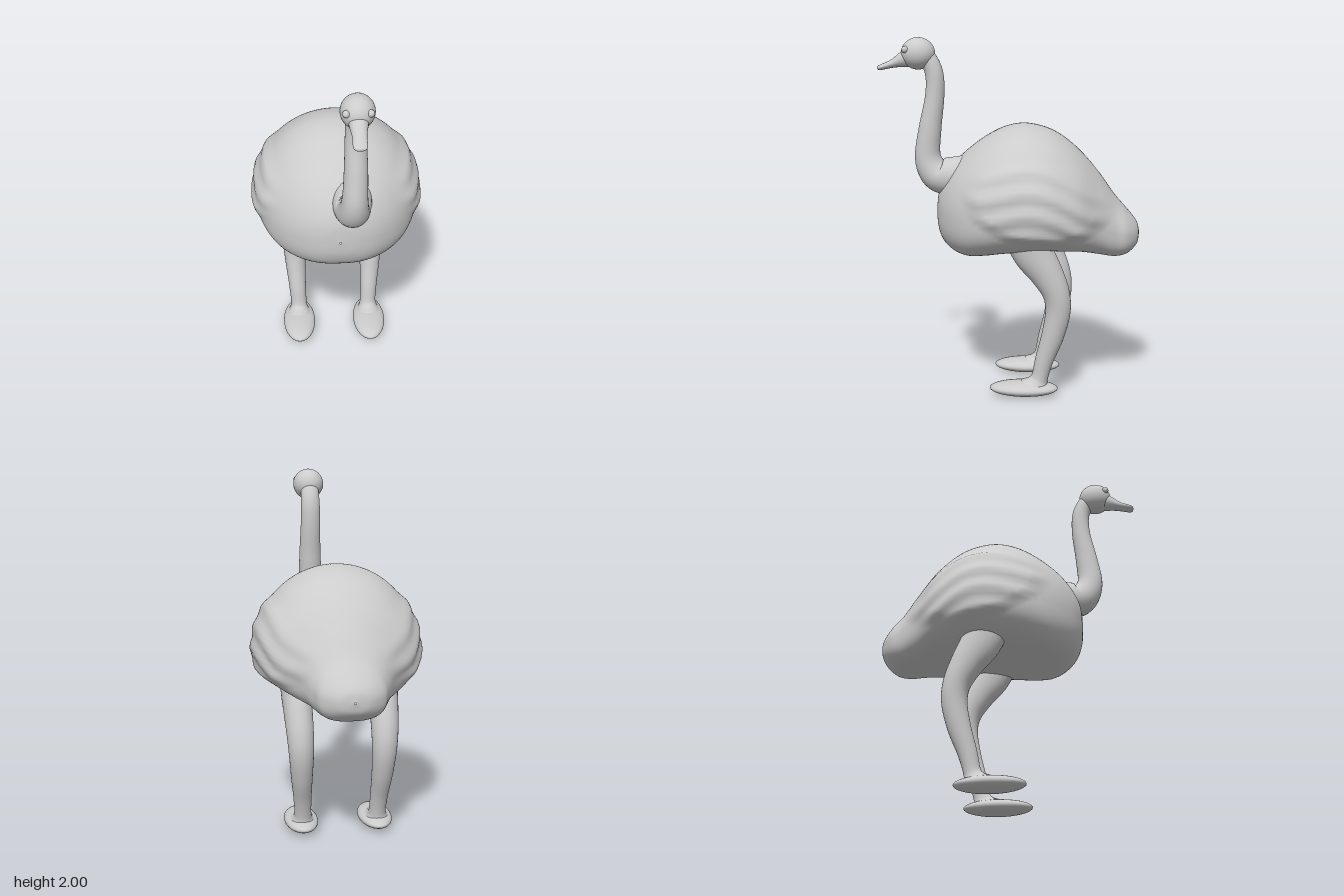
import * as THREE from 'three';
import { ParametricGeometry } from 'three/addons/geometries/ParametricGeometry.js';

const material = new THREE.MeshStandardMaterial({ color: 0xcccccc, side: THREE.DoubleSide });

function mesh(name, geometry, parent) {
  const m = new THREE.Mesh(geometry, material);
  m.name = name;
  parent.add(m);
  return m;
}

function ellipsoid(name, parent, center, radii) {
  const m = mesh(name, new THREE.SphereGeometry(1, 40, 28), parent);
  m.position.set(...center);
  m.scale.set(...radii);
  return m;
}

// smooth curve through three columns of a table
function columns(rows, a, b, c) {
  const points = rows.map(r => new THREE.Vector3(r[a], r[b], r[c] ?? 0));
  return new THREE.CatmullRomCurve3(points, false, 'catmullrom');
}

// tube with varying elliptical section; rows are [x, y, z, half width, half depth]
function taperedTube(rows, around = 28, along = 48) {
  const path = columns(rows, 0, 1, 2);
  const size = columns(rows, 3, 4);
  const side = new THREE.Vector3(1, 0, 0);
  return new ParametricGeometry((u, v, target) => {
    const a = u * Math.PI * 2;
    const s = size.getPoint(v);
    const n = path.getTangent(v).cross(side).normalize();
    target.copy(path.getPoint(v)).addScaledVector(side, s.x * Math.cos(a)).addScaledVector(n, s.y * Math.sin(a));
  }, around, along);
}

// body sections from tail to breast: [z, top, bottom, half width, height of widest point]
const BODY = [
  [-0.73, 0.918, 0.908, 0.005, 0.913],
  [-0.715, 0.975, 0.85, 0.09, 0.913],
  [-0.66, 1.045, 0.8, 0.17, 0.92],
  [-0.59, 1.125, 0.785, 0.205, 0.94],
  [-0.5, 1.25, 0.80, 0.26, 0.99],
  [-0.4, 1.365, 0.82, 0.355, 1.03],
  [-0.3, 1.45, 0.825, 0.41, 1.05],
  [-0.2, 1.502, 0.83, 0.443, 1.06],
  [-0.08, 1.525, 0.82, 0.455, 1.06],
  [0.03, 1.505, 0.81, 0.448, 1.05],
  [0.13, 1.455, 0.795, 0.42, 1.04],
  [0.22, 1.39, 0.788, 0.37, 1.03],
  [0.3, 1.315, 0.81, 0.295, 1.03],
  [0.365, 1.225, 0.86, 0.2, 1.03],
  [0.4, 1.14, 0.935, 0.1, 1.03],
  [0.41, 1.035, 1.025, 0.005, 1.03]
];

// raised wing with rippled feathers, as an outward offset of the flank
function wingRelief(y, z) {
  const dy = y - 1.13 - 0.1 * (z + 0.17);
  const d = Math.hypot((z + 0.17) / 0.43, dy / 0.24);
  const mask = 1 - THREE.MathUtils.smoothstep(d, 0.72, 1);
  const ripple = Math.sin(dy * 52 + 14 * z * z + 2 * Math.sin(z * 9));
  return mask * (0.02 + 0.006 * ripple);
}

function bodyGeometry() {
  const outline = columns(BODY, 0, 1, 2);
  const width = columns(BODY, 3, 4);
  return new ParametricGeometry((u, v, target) => {
    const a = u * Math.PI * 2;
    const c = Math.cos(a), s = Math.sin(a);
    const o = outline.getPoint(v), w = width.getPoint(v);
    // round back, flatter belly
    const k = s < 0 ? 2 / 2.7 : 1;
    const y = w.y + (s < 0 ? w.y - o.z : o.y - w.y) * Math.sign(s) * Math.abs(s) ** k;
    const x = w.x * Math.sign(c) * Math.abs(c) ** k;
    target.set(x + c * wingRelief(y, o.x), y, o.x);
  }, 96, 110);
}

export function createModel() {
  const model = new THREE.Group();
  model.name = 'bird';

  mesh('body', bodyGeometry(), model);

  // neck, flaring into the breast
  const neck = [
    [0.06, 1.235, 0.2, 0.12, 0.12],
    [0.063, 1.23, 0.33, 0.108, 0.108],
    [0.065, 1.245, 0.41, 0.09, 0.09],
    [0.07, 1.34, 0.455, 0.07, 0.073],
    [0.075, 1.5, 0.44, 0.063, 0.063],
    [0.075, 1.68, 0.412, 0.057, 0.053],
    [0.075, 1.81, 0.415, 0.055, 0.05],
    [0.075, 1.9, 0.46, 0.05, 0.047],
    [0.075, 1.92, 0.51, 0.04, 0.04]
  ];
  mesh('neck', taperedTube(neck), model);

  // head, beak and eyes
  const head = new THREE.Group();
  head.name = 'head';
  head.position.x = 0.075;
  model.add(head);
  ellipsoid('skull', head, [0, 1.912, 0.502], [0.088, 0.088, 0.094]);
  const beak = [
    [0, 1.9, 0.52, 0.06, 0.06],
    [0, 1.88, 0.58, 0.048, 0.045],
    [0, 1.857, 0.64, 0.037, 0.024],
    [0, 1.838, 0.7, 0.036, 0.016],
    [0, 1.832, 0.722, 0.028, 0.012],
    [0, 1.83, 0.73, 0.002, 0.002]
  ];
  mesh('beak', taperedTube(beak, 24, 32), head);
  for (const side of [-1, 1]) {
    ellipsoid(side > 0 ? 'leftEye' : 'rightEye', head, [side * 0.06, 1.935, 0.565], [0.019, 0.019, 0.019]);
  }

  // legs: [offset outward from foot, y, z, half width, half depth]
  const leg = [
    [0.03, 0.93, -0.1, 0.088, 0.12],
    [0.03, 0.83, -0.145, 0.084, 0.112],
    [0.026, 0.72, -0.215, 0.08, 0.092],
    [0.022, 0.61, -0.268, 0.075, 0.076],
    [0.018, 0.5, -0.28, 0.069, 0.07],
    [0.013, 0.36, -0.252, 0.06, 0.063],
    [0.005, 0.22, -0.207, 0.051, 0.052],
    [0, 0.12, -0.182, 0.048, 0.047],
    [0, 0.085, -0.17, 0.056, 0.06],
    [0, 0.06, -0.16, 0.075, 0.09]
  ];
  for (const side of [-1, 1]) {
    const limb = new THREE.Group();
    limb.name = side > 0 ? 'leftLeg' : 'rightLeg';
    limb.position.x = side > 0 ? 0.205 : -0.225;
    model.add(limb);
    mesh('leg', taperedTube(leg.map(([x, ...rest]) => [side * x, ...rest])), limb);
    ellipsoid('foot', limb, [0, 0.047, -0.09], [0.096, 0.042, 0.192]);
  }

  // stand on the ground
  model.children.forEach(part => { part.position.y -= 0.004; });
  return model;
}
